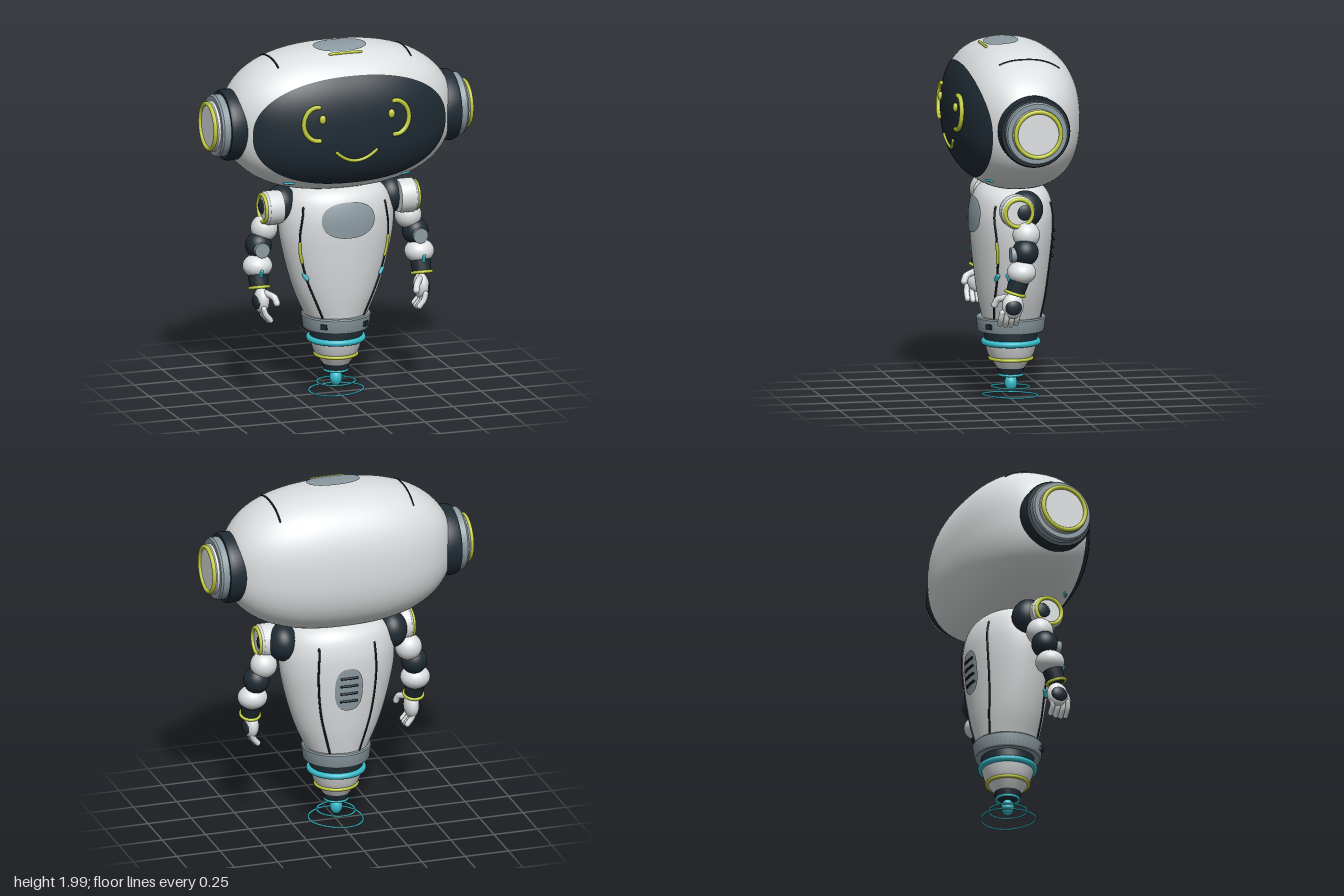
import * as THREE from 'three';
import { mergeGeometries, mergeVertices, toCreasedNormals } from 'three/addons/utils/BufferGeometryUtils.js';

const V = (x, y, z) => new THREE.Vector3(x, y, z);
const mat = (name, color) => {
  const m = new THREE.MeshStandardMaterial({ color });
  m.name = name;
  return m;
};

// Head: a superellipsoid
const HEAD = { y: 1.585, z: -0.01, a: 0.65, b: 0.405, c: 0.35, n: 2.4 };
const rest = (p, q) => Math.pow(Math.max(0, 1 - Math.abs(p) ** HEAD.n - Math.abs(q) ** HEAD.n), 1 / HEAD.n);
const onFace = (x, y, lift = 0) => V(x, y, HEAD.z + HEAD.c * rest(x / HEAD.a, (y - HEAD.y) / HEAD.b) + lift);
const onCrown = (x, z, lift = 0) => V(x, HEAD.y + HEAD.b * rest(x / HEAD.a, (z - HEAD.z) / HEAD.c) + lift, z);

// Torso: elliptical sections given as (half width, height, half depth)
const TORSO_Z = -0.015;
const sections = new THREE.CatmullRomCurve3([
  V(0.17, 0.44, 0.16), V(0.24, 0.6, 0.19), V(0.298, 0.8, 0.214), V(0.325, 0.95, 0.225),
  V(0.322, 1.05, 0.223), V(0.29, 1.14, 0.2), V(0.22, 1.19, 0.155), V(0.1, 1.21, 0.07), V(0.002, 1.212, 0.0014),
]).getPoints(64);
function sectionAt(y) {
  const i = Math.max(1, sections.findIndex((p) => p.y >= y));
  const a = sections[i - 1], b = sections[i];
  return a.clone().lerp(b, THREE.MathUtils.clamp((y - a.y) / (b.y - a.y), 0, 1));
}
function onTorso(x, y, side = 1, lift = 0) {
  const s = sectionAt(y);
  return V(x, y, TORSO_Z + side * (s.z * Math.sqrt(Math.max(0, 1 - (x / s.x) ** 2)) + lift));
}

const smooth = (geo) => {
  geo.deleteAttribute('normal');
  geo.deleteAttribute('uv');
  const g = mergeVertices(geo, 1e-5);
  g.computeVertexNormals();
  return g;
};
const lathe = (pts, seg = 48) =>
  toCreasedNormals(new THREE.LatheGeometry(pts.map(([r, y]) => new THREE.Vector2(r, y)), seg), 0.6);

// Round-ended line through points
function stroke(pts, r, closed = false) {
  const curve = new THREE.CatmullRomCurve3(pts, closed);
  const tube = new THREE.TubeGeometry(curve, Math.max(16, pts.length * 4), r, 8, closed);
  if (closed) return tube;
  const cap = (p) => new THREE.SphereGeometry(r, 8, 6).translate(p.x, p.y, p.z);
  return mergeGeometries([tube, cap(pts[0]), cap(pts[pts.length - 1])]);
}

// Rounded panel laid on a surface: place(u, v) gives the surface point
function panel(place, rx, ry, n, rings = 16, seg = 72) {
  const pos = [], idx = [];
  const pw = (c) => Math.sign(c) * Math.abs(c) ** (2 / n);
  for (let i = 0; i <= rings; i++) {
    for (let j = 0; j < seg; j++) {
      const t = (j / seg) * Math.PI * 2, k = Math.max(i / rings, 0.001);
      pos.push(...place(k * rx * pw(Math.cos(t)), k * ry * pw(Math.sin(t))).toArray());
      if (i === rings) continue;
      const a = i * seg + j, b = i * seg + (j + 1) % seg;
      idx.push(a, a + seg, b, b, a + seg, b + seg);
    }
  }
  const g = new THREE.BufferGeometry();
  g.setAttribute('position', new THREE.Float32BufferAttribute(pos, 3));
  g.setIndex(idx);
  g.computeVertexNormals();
  return g;
}

export function createModel() {
  const white = mat('shell white', 0xdcdfe0), dark = mat('dark navy', 0x1f2b34), grey = mat('panel grey', 0x8c9ba2);
  const lime = mat('lime', 0xbfca3a), cyan = mat('cyan', 0x35bccb), black = mat('seam black', 0x10161a);
  const model = new THREE.Group();
  model.name = 'robot';
  const group = (name) => {
    const g = new THREE.Group();
    g.name = name;
    model.add(g);
    return g;
  };
  const add = (parent, name, geo, m, p = [0, 0, 0], rot = [0, 0, 0]) => {
    const mesh = new THREE.Mesh(geo, m);
    mesh.name = name;
    mesh.position.set(...p);
    mesh.rotation.set(...rot);
    parent.add(mesh);
    return mesh;
  };
  const ball = (parent, name, m, p, r) => add(parent, name, new THREE.SphereGeometry(1, 32, 20).scale(...r), m, p);
  const ring = (parent, name, m, R, r, p, rot) => add(parent, name, new THREE.TorusGeometry(R, r, 12, 48), m, p, rot);
  const flat = [Math.PI / 2, 0, 0];

  // Head shell
  const head = group('head');
  const shell = new THREE.SphereGeometry(1, 96, 64);
  const P = shell.attributes.position;
  for (let i = 0; i < P.count; i++) {
    const p = V(0, 0, 0).fromBufferAttribute(P, i), n = HEAD.n;
    p.divideScalar((Math.abs(p.x) ** n + Math.abs(p.y) ** n + Math.abs(p.z) ** n) ** (1 / n));
    P.setXYZ(i, p.x * HEAD.a, p.y * HEAD.b, p.z * HEAD.c);
  }
  add(head, 'headShell', smooth(shell), white, [0, HEAD.y, HEAD.z]);

  // Face screen, mouth and crown plate
  add(head, 'visor', panel((u, v) => onFace(u, 1.56 + v, 0.005), 0.56, 0.31, 2.25, 24, 96), dark);
  const across = (n, f) => Array.from({ length: n + 1 }, (_, i) => f((i / n) * 2 - 1));
  add(head, 'mouth', stroke(across(12, (t) => onFace(0.115 * t, 1.402 + 0.055 * t * t, 0.008)), 0.009), lime);
  add(head, 'crownPlate', panel((u, v) => onCrown(u, 0.045 - v, 0.007), 0.15, 0.09, 2.3), grey);
  add(head, 'crownLight', stroke(across(8, (t) => onCrown(0.09 * t, 0.146, 0.004)), 0.008), lime);

  for (const s of [1, -1]) {
    // Eyes
    const arc = across(16, (t) => onFace(s * (0.225 + 0.08 * Math.cos(t * 1.66)), 1.63 + 0.094 * Math.sin(t * 1.66), 0.014));
    add(head, 'eyeArc', stroke(arc, 0.013), lime);
    ball(head, 'pupil', lime, onFace(s * 0.2, 1.655, 0.012).toArray(), [0.019, 0.025, 0.014]);

    // Crown seams and cheek lights
    add(head, 'crownSeam', stroke(across(12, (t) => onCrown(s * 0.385, -0.035 + 0.165 * t)), 0.005), black);
    add(head, 'cheekLight', stroke(across(4, (t) => onFace(s * (0.34 + 0.02 * t), 1.265, 0.003)), 0.008), cyan);

    // Ear pods
    const ear = group(s > 0 ? 'leftEar' : 'rightEar');
    ear.position.set(0, 1.577, -0.01);
    const axis = [0, 0, -s * Math.PI / 2];
    add(ear, 'earCup', lathe([[0, 0.54], [0.18, 0.54], [0.195, 0.585], [0.198, 0.65], [0.19, 0.668], [0, 0.668]]), dark, [0, 0, 0], axis);
    add(ear, 'earRing', lathe([[0, 0.66], [0.172, 0.66], [0.174, 0.705], [0.166, 0.716], [0, 0.716]]), grey, [0, 0, 0], axis);
    add(ear, 'earCap', lathe([[0, 0.71], [0.14, 0.71], [0.14, 0.73], [0.125, 0.742], [0, 0.742]]), white, [0, 0, 0], axis);
    ring(ear, 'earLight', lime, 0.126, 0.012, [s * 0.744, 0, 0], [0, Math.PI / 2, 0]);
  }

  // Torso
  const torso = group('torso');
  const body = new THREE.LatheGeometry(sections.map((p) => new THREE.Vector2(p.x, p.y)), 72);
  const B = body.attributes.position;
  for (let i = 0; i < B.count; i++) {
    const q = sections[i % sections.length];
    B.setZ(i, (B.getZ(i) * q.z) / q.x);
  }
  add(torso, 'torsoShell', smooth(body), white, [0, 0, TORSO_Z]);
  add(torso, 'chestPlate', panel((u, v) => onTorso(u, 1.03 + v, 1, 0.008), 0.153, 0.1, 2.3), grey);
  add(torso, 'backVent', panel((u, v) => onTorso(-u, 0.855 + v, -1, 0.007), 0.08, 0.125, 2.6), grey);
  for (let i = 0; i < 4; i++)
    add(torso, 'ventSlot', stroke(across(4, (t) => onTorso(0.045 * t, 0.925 - i * 0.046, -1, 0.01)), 0.007), black);

  // Torso seams and their lights
  const seam = (pts, s, side) => {
    const c = new THREE.CatmullRomCurve3(pts.map(([x, y]) => V(x, y, 0)));
    return stroke(c.getPoints(18).map((p) => onTorso(s * p.x, p.y, side, 0.001)), 0.006);
  };
  for (const s of [1, -1]) {
    add(torso, 'frontSeam', seam([[0.237, 1.1], [0.256, 0.92], [0.222, 0.72], [0.118, 0.455]], s, 1), black);
    add(torso, 'backSeam', seam([[0.16, 1.1], [0.166, 0.92], [0.145, 0.7], [0.085, 0.455]], s, -1), black);
    add(torso, 'seamLight', stroke([[0.256, 0.9], [0.252, 0.845], [0.24, 0.79]].map(([x, y]) => onTorso(s * x, y, 1, 0.004)), 0.009), lime);
    add(torso, 'sideLight', stroke([onTorso(s * 0.228, 0.715, 1, 0.006), onTorso(s * 0.212, 0.692, 1, 0.006)], 0.012), cyan);
  }

  // Waist and thruster
  const base = group('thruster');
  base.position.z = -0.012;
  add(base, 'belt', lathe([[0, 0.375], [0.178, 0.375], [0.184, 0.382], [0.192, 0.45], [0.187, 0.457], [0, 0.457]]), grey);
  for (const s of [1, -1])
    add(base, 'beltStud', new THREE.BoxGeometry(0.035, 0.028, 0.02), dark, [s * 0.12, 0.415, 0.146], [0, s * 0.69, 0]);
  add(base, 'waist', lathe([[0, 0.325], [0.145, 0.325], [0.145, 0.38], [0, 0.38]]), dark);
  ring(base, 'waistLight', cyan, 0.148, 0.017, [0, 0.314, 0], flat);
  add(base, 'cone', lathe([[0, 0.165], [0.072, 0.165], [0.112, 0.222], [0.128, 0.25], [0.145, 0.31], [0, 0.31]]), white);
  ring(base, 'coneLight', lime, 0.115, 0.01, [0, 0.222, 0], flat);
  add(base, 'nozzle', lathe([[0, 0.132], [0.066, 0.132], [0.075, 0.17], [0, 0.17]]), dark);
  ring(base, 'nozzleLight', cyan, 0.063, 0.008, [0, 0.13, 0], flat);
  ball(base, 'thrustDrop', cyan, [0, 0.083, 0], [0.035, 0.047, 0.035]);
  for (const [r, y, k] of [[0.105, 0.062, 0.003], [0.15, 0.015, 0.007]]) {
    const pts = Array.from({ length: 24 }, (_, i) => {
      const t = (i / 24) * Math.PI * 2, R = r + k * 0.6 * Math.cos(3 * t);
      return V(R * Math.cos(t), y + k * Math.sin(t + 0.8), R * Math.sin(t));
    });
    add(base, 'thrustRing', stroke(pts, 0.0055, true), cyan);
  }

  // Arms
  for (const s of [1, -1]) {
    const arm = group(s > 0 ? 'leftArm' : 'rightArm');
    const side = [0, 0, -s * Math.PI / 2];
    ball(arm, 'shoulderJoint', dark, [s * 0.315, 1.095, -0.025], [0.085, 0.104, 0.1]);
    add(arm, 'shoulderPad', lathe([[0, 0.34], [0.09, 0.34], [0.094, 0.36], [0.094, 0.425], [0.085, 0.438], [0, 0.438]]), white, [0, 1.095, 0.035], side);
    ring(arm, 'shoulderLight', lime, 0.076, 0.011, [s * 0.442, 1.095, 0.035], [0, Math.PI / 2, 0]);
    ball(arm, 'shoulderPivot', dark, [s * 0.43, 1.095, 0], [0.02, 0.046, 0.046]);
    ball(arm, 'upperArm', white, [s * 0.418, 0.97, -0.01], [0.075, 0.075, 0.075]);
    ball(arm, 'elbow', dark, [s * 0.455, 0.88, 0.003], [0.073, 0.075, 0.073]);
    add(arm, 'elbowCap', new THREE.CylinderGeometry(0.042, 0.042, 0.03, 32), grey, [s * 0.46, 0.868, 0.072], flat);
    ball(arm, 'forearm', white, [s * 0.47, 0.77, 0.028], [0.083, 0.066, 0.08]);
    add(arm, 'forearmLight', stroke([V(s * 0.472, 0.757, 0.108), V(s * 0.472, 0.728, 0.096)], 0.01), cyan);

    // Wrist
    const tilt = [-0.3, 0, 0];
    add(arm, 'wrist', lathe([[0, -0.035], [0.05, -0.035], [0.057, 0.04], [0, 0.04]], 32), dark, [s * 0.472, 0.685, 0.055], tilt);
    ring(arm, 'wristLight', lime, 0.053, 0.009, [s * 0.472, 0.656, 0.064], [Math.PI / 2 - 0.3, 0, 0]);

    // Hand
    ball(arm, 'palm', white, [s * 0.463, 0.585, 0.075], [0.042, 0.072, 0.06]);
    ball(arm, 'handPlate', dark, [s * 0.487, 0.58, 0.075], [0.025, 0.045, 0.047]);
    add(arm, 'thumb', stroke([V(s * 0.445, 0.63, 0.105), V(s * 0.415, 0.615, 0.15), V(s * 0.405, 0.585, 0.165)], 0.019), white);
    for (let i = 0; i < 4; i++) {
      const z = 0.045 + i * 0.03, drop = 0.008 * Math.abs(i - 1.5);
      add(arm, 'finger', stroke([V(s * 0.47, 0.55, z), V(s * 0.458, 0.505 + drop, z + 0.004), V(s * 0.432, 0.472 + drop, z + 0.004)], 0.016), white);
    }
  }
  return model;
}
